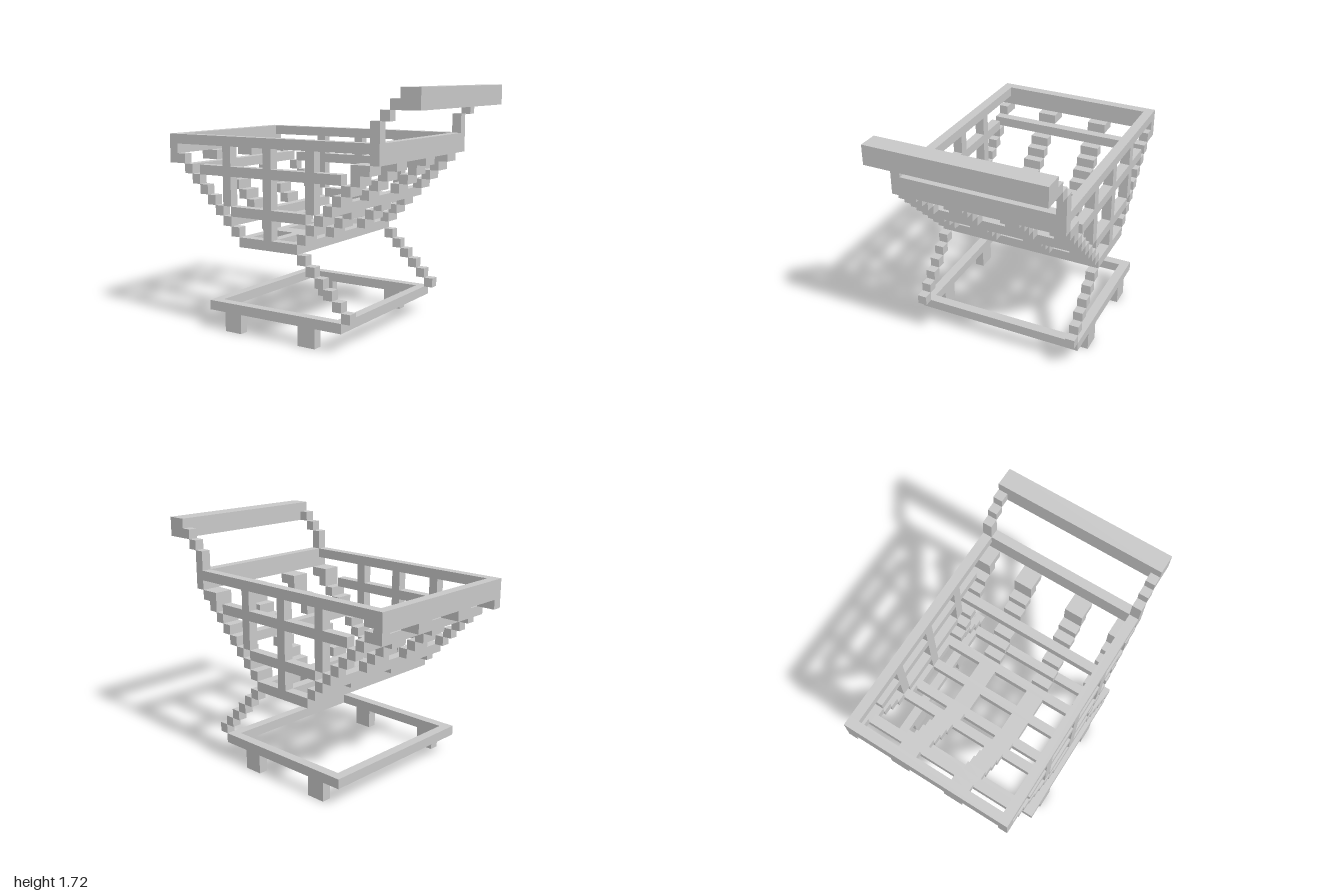
import * as THREE from 'three';

const U = 2 / 29; // one block; the cart is 29 x 25 x 18 blocks

export function createModel() {
  const cart = new THREE.Group();
  cart.name = 'shoppingCart';
  const metal = new THREE.MeshStandardMaterial({ color: 0xc8c8c8 });
  metal.name = 'light grey metal';

  // Box between two block corners
  function block(parent, name, x0, x1, y0, y1, z0, z1) {
    const mesh = new THREE.Mesh(
      new THREE.BoxGeometry((x1 - x0) * U, (y1 - y0) * U, (z1 - z0) * U), metal);
    mesh.position.set(((x0 + x1) / 2 - 14.5) * U, ((y0 + y1) / 2) * U, ((z0 + z1) / 2 - 9) * U);
    mesh.name = name;
    parent.add(mesh);
  }
  function group(name) {
    const g = new THREE.Group();
    g.name = name;
    cart.add(g);
    return g;
  }
  // Diagonal run of single steps
  function stairs(parent, name, x, y, dx, count, z0, z1) {
    for (let i = 0; i < count; i++) {
      block(parent, name, x + dx * i, x + dx * i + 1, y + i, y + i + 1, z0, z1);
    }
  }

  const base = group('base');
  const basket = group('basket');
  const handle = group('handle');

  // Both long sides
  for (const z of [0, 17]) {
    const e = z + 1;
    // Base rail, wheels and the leg up to the basket
    block(base, 'baseRail', 5, 21, 2, 3, z, e);
    for (const x of [7, 16]) block(base, 'wheel', x, x + 2, 0, 2, z, e);
    stairs(base, 'legStep', 21, 3, -1, 6, z, e);

    // Side grid
    block(basket, 'rimRail', 1, 24, 19, 20, z, e);
    block(basket, 'upperSideRail', 4, 21, 16, 17, z, e);
    block(basket, 'lowerSideRail', 8, 17, 12, 13, z, e);
    block(basket, 'bottomRail', 10, 15, 9, 10, z, e);
    for (const [x, y] of [[7, 13], [12, 10], [17, 13]]) {
      if (y < 12) block(basket, 'sidePost', x, x + 1, y, 12, z, e);
      block(basket, 'sidePost', x, x + 1, 13, 16, z, e);
      block(basket, 'sidePost', x, x + 1, 17, 19, z, e);
    }

    // Handle arm
    block(handle, 'handlePost', 24, 25, 20, 22, z, e);
    block(handle, 'handleStep', 25, 26, 22, 23, z, e);
    block(handle, 'handleStep', 26, 27, 23, 24, z, e);
  }

  // Base ends
  for (const x of [5, 20]) block(base, 'baseEnd', x, x + 1, 2, 3, 1, 17);

  // Rim ends and bottom crossbars
  for (const x of [0, 24]) block(basket, 'rimEnd', x, x + 1, 18, 20, 0, 18);
  for (const x of [9, 12, 15]) {
    const inset = x === 12 ? 1 : 0;
    block(basket, 'bottomCrossbar', x, x + 1, 9, 10, inset, 18 - inset);
  }

  // Stepped strands of the two sloping ends: [low-x range, high-x range]
  const strands = [
    [[0, 1], [0, 2]], [[5, 7], [5, 7]], [[11, 13], [11, 13]], [[17, 18], [16, 18]],
  ];
  for (const [far, near] of strands) {
    stairs(basket, 'frontSlopeStep', 8, 10, -1, 8, ...far);
    block(basket, 'frontSlopeTop', 0, 1, 17, 18, ...far);
    stairs(basket, 'rearSlopeStep', 16, 10, 1, 7, ...near);
    block(basket, 'rearSlopeTop', 22, 24, 17, 18, ...near);
  }
  // Bottom strands
  for (const z of [5, 11]) {
    for (const x of [10, 13]) block(basket, 'bottomStrand', x, x + 2, 9, 10, z, z + 2);
  }
  // Crossbars on the slopes
  for (const [x, y] of [[2, 16], [7, 11], [19, 13]]) {
    block(basket, 'slopeCrossbar', x, x + 1, y, y + 1, 0, 18);
  }

  // Push bar
  block(handle, 'pushBar', 27, 29, 23, 25, 0, 18);

  return cart;
}
